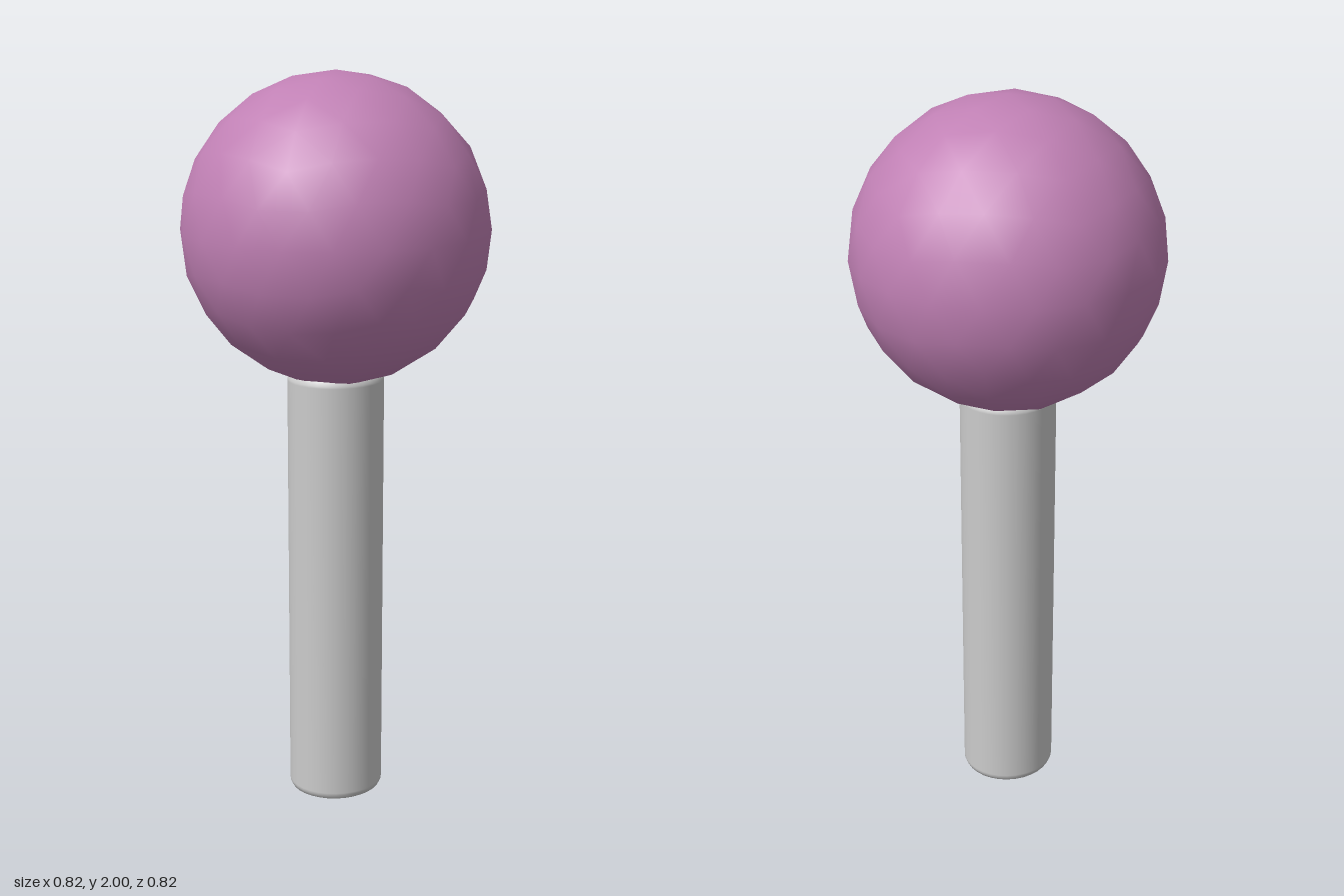
import * as THREE from 'three';

// Icosphere with a vertex at each pole, rounded by two recursive subdivisions
function icosphere(radius) {
  const ringY = 1 / Math.sqrt(5), ringR = 2 / Math.sqrt(5);
  const points = [0, 1, 0];
  for (const [y, offset] of [[ringY, 0], [-ringY, 0.5]]) {
    for (let k = 0; k < 5; k++) {
      const a = (k + offset) * Math.PI * 0.4;
      points.push(ringR * Math.cos(a), y, ringR * Math.sin(a));
    }
  }
  points.push(0, -1, 0);

  const faces = [];
  for (let k = 0; k < 5; k++) {
    const n = (k + 1) % 5;
    const u = 1 + k, un = 1 + n, l = 6 + k, ln = 6 + n;
    faces.push(0, un, u, u, un, l, l, un, ln, 11, l, ln);
  }
  const once = new THREE.PolyhedronGeometry(points, faces, 1, 1).getAttribute('position');
  const order = Array.from({ length: once.count }, (_, i) => i);
  return new THREE.PolyhedronGeometry(once.array, order, radius, 1);
}

export function createModel() {
  const model = new THREE.Group();
  model.name = 'ballOnPost';

  // Slightly oval post with softened rims
  const height = 1.21;
  const rim = [[0, 0], [0.114, 0], [0.118, 0], [0.127, 0.005], [0.132, 0.016], [0.132, 0.022]];
  const profile = [
    ...rim.map(([r, y]) => new THREE.Vector2(r, y)),
    ...rim.slice().reverse().map(([r, y]) => new THREE.Vector2(r, height - y)),
  ];
  const post = new THREE.Mesh(
    new THREE.LatheGeometry(profile, 32),
    new THREE.MeshStandardMaterial({ color: 0xcccccc })
  );
  post.name = 'post';
  post.scale.z = 0.96;
  model.add(post);

  // Ball resting on the post, its underside sunk into the top
  const ball = new THREE.Mesh(
    icosphere(0.41),
    new THREE.MeshStandardMaterial({ color: 0xc080b4 })
  );
  ball.name = 'ball';
  ball.position.y = 1.59;
  model.add(ball);

  return model;
}
